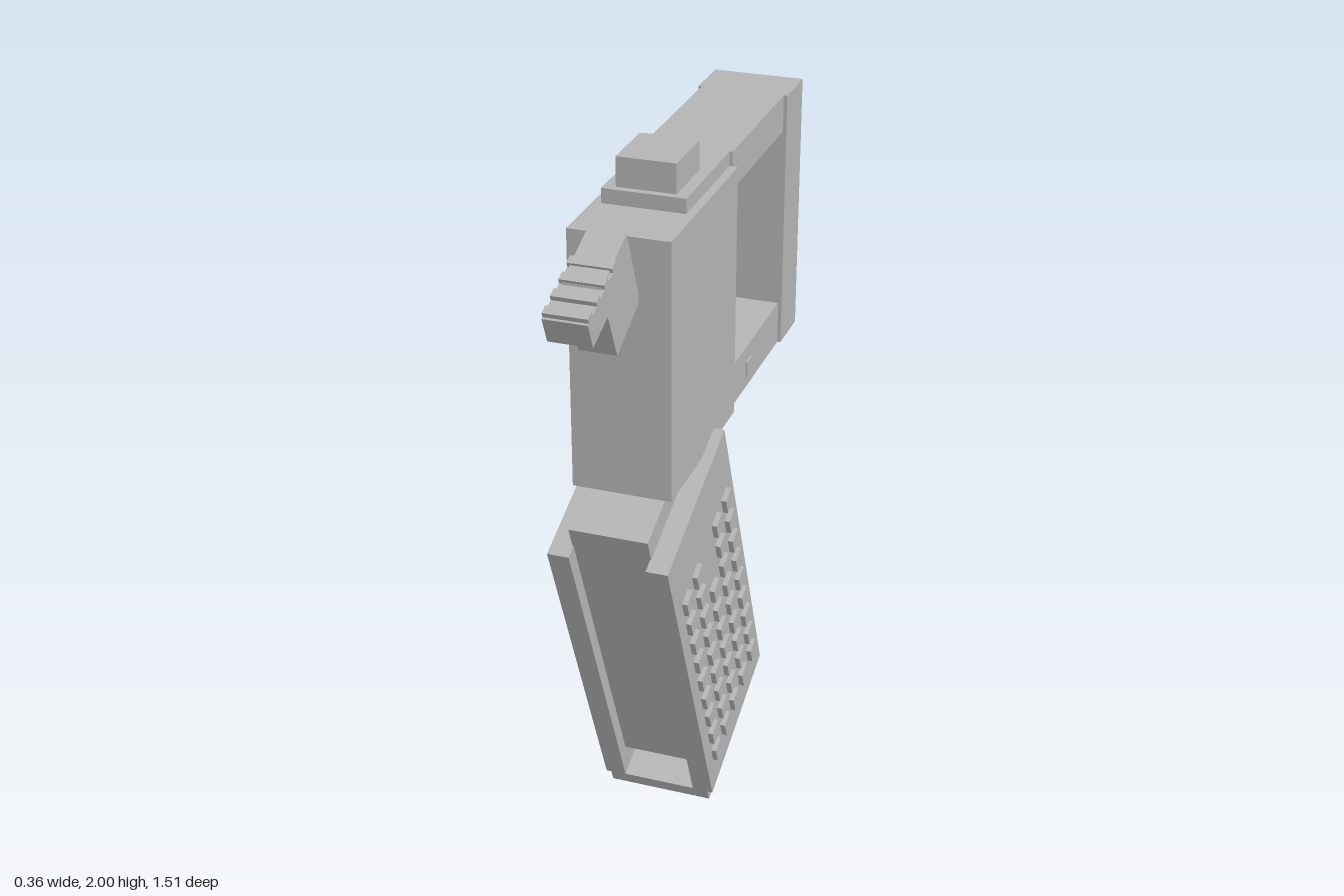
import * as THREE from 'three';

export function createModel() {
  const model = new THREE.Group();
  const grey = new THREE.MeshStandardMaterial({ color: 0xb4b4b4 });
  grey.name = 'plain grey';

  const add = (name, geometry, parent = model) => {
    const mesh = new THREE.Mesh(geometry, grey);
    mesh.name = name;
    parent.add(mesh);
    return mesh;
  };

  // Box given by its limits on each axis
  const box = (name, [x0, x1], [y0, y1], [z0, z1], parent) => {
    const g = new THREE.BoxGeometry(x1 - x0, y1 - y0, z1 - z0);
    g.translate((x0 + x1) / 2, (y0 + y1) / 2, (z0 + z1) / 2);
    return add(name, g, parent);
  };

  // Side profile of [z, y] points, extruded across x
  const profile = (name, points, width) => {
    const shape = new THREE.Shape(points.map(([z, y]) => new THREE.Vector2(z, y)));
    const g = new THREE.ExtrudeGeometry(shape, { depth: width, bevelEnabled: false });
    g.translate(0, 0, -width / 2).rotateY(-Math.PI / 2);
    return add(name, g);
  };

  // Receiver and the open barrel frame
  box('receiver', [-0.135, 0.135], [1.165, 1.88], [-0.13, 0.4]);
  box('topRail', [-0.12, 0.12], [1.815, 1.92], [-0.61, -0.13]);
  box('topPlate', [-0.112, 0.112], [1.87, 1.92], [-0.14, 0.22]);
  box('lowerRail', [-0.12, 0.12], [1.165, 1.29], [-0.61, -0.12]);
  box('muzzleBlock', [-0.13, 0.13], [1.165, 1.92], [-0.755, -0.6]);
  box('sideButton', [-0.165, -0.13], [1.46, 1.53], [-0.05, 0.1]);
  for (const s of [-1, 1]) {
    const pin = box('framePin', [-0.004, 0.004], [1.2, 1.245], [-0.328, -0.282]);
    pin.position.x = s * 0.122;
  }

  // Rear sight with a slightly pointed leading edge and a fine centre groove
  const sight = new THREE.Shape();
  sight.moveTo(-0.08, -0.2);
  sight.lineTo(0.08, -0.2);
  sight.lineTo(0.08, -0.022);
  sight.lineTo(0, -0.013);
  sight.lineTo(-0.08, -0.022);
  const sightGeo = new THREE.ExtrudeGeometry(sight, { depth: 0.085, bevelEnabled: false });
  sightGeo.rotateX(-Math.PI / 2).translate(0, 1.915, 0);
  add('rearSight', sightGeo);

  // Hammer, its thumb spur and the spur ridges
  profile('hammer', [[0.39, 1.71], [0.55, 1.635], [0.615, 1.775], [0.655, 1.765],
    [0.645, 1.852], [0.475, 1.92]], 0.1);
  profile('hammerSpur', [[0.605, 1.78], [0.725, 1.735], [0.755, 1.805], [0.562, 1.878]], 0.114);
  for (let i = 0; i < 4; i++) {
    const ridge = add('spurRidge', new THREE.BoxGeometry(0.114, 0.024, 0.026));
    ridge.position.set(0, 1.813 + i * 0.02, 0.737 - i * 0.053);
    ridge.rotation.x = 0.37;
  }

  // Trigger guard and trigger
  profile('triggerGuard', [[-0.225, 1.17], [-0.28, 1.17], [-0.28, 0.815], [0.02, 0.815],
    [0.02, 0.87], [-0.195, 0.87], [-0.225, 0.9]], 0.1);
  profile('trigger', [[0.0, 1.17], [-0.07, 1.17], [-0.058, 1.09], [-0.067, 1.06], [-0.052, 0.98],
    [-0.088, 0.99], [-0.104, 0.925], [-0.055, 0.9], [0.0, 0.93]], 0.07);

  // Raked grip: centre magazine between two side panels on a base plate
  const grip = new THREE.Group();
  grip.name = 'grip';
  grip.position.set(0, 0.604, 0.079);
  grip.rotation.x = THREE.MathUtils.degToRad(22);
  model.add(grip);
  box('magazine', [-0.108, 0.108], [-0.416, 0.615], [-0.18, 0.211], grip);
  box('basePlate', [-0.15, 0.15], [-0.547, -0.505], [-0.25, 0.25], grip);
  for (const s of [-1, 1]) {
    const panel = box('gripPanel', [-0.03, 0.03], [-0.508, 0.547], [-0.25, 0.25], grip);
    panel.position.x = s * 0.135;
    // Raised square studs
    for (let row = 0; row < 9; row++) {
      for (let col = 0; col < 5; col++) {
        if (col === 2 && row < 2) continue;
        const stud = add('gripStud', new THREE.BoxGeometry(0.025, 0.05, 0.05), grip);
        stud.position.set(s * 0.167, 0.337 - row * 0.089, 0.178 - col * 0.089);
      }
    }
  }

  return model;
}
